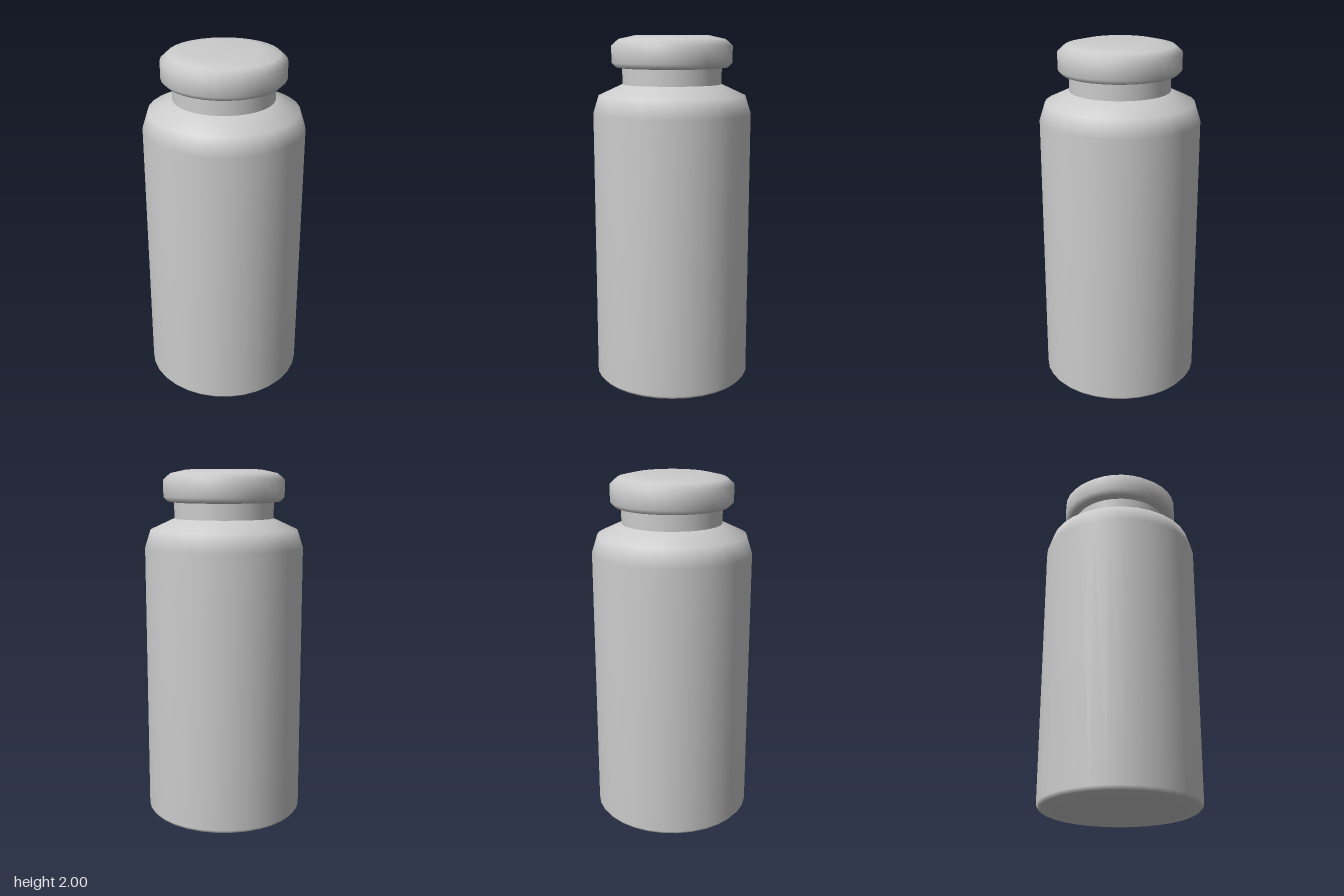
import * as THREE from 'three';

const SIDES = 32;

export function createModel() {
  const group = new THREE.Group();
  group.name = 'bottle';
  const material = new THREE.MeshStandardMaterial({ color: 0xcccccc });

  // Turns a profile of [radius, height] points, listed from bottom to top
  const turn = (name, profile) => {
    const points = profile.map(([r, y]) => new THREE.Vector2(r, y));
    const mesh = new THREE.Mesh(new THREE.LatheGeometry(points, SIDES), material);
    mesh.name = name;
    group.add(mesh);
  };

  // Body with a softened base and a sloping shoulder
  turn('body', [
    [0, 0], [0.26, 0.003], [0.43, 0.02], [0.447, 0.04], [0.447, 1.57],
    [0.415, 1.67], [0.285, 1.73], [0.27, 1.735], [0, 1.735],
  ]);

  // Straight neck between shoulder and cap
  turn('neck', [[0.28, 1.72], [0.28, 1.83]]);

  // Rounded cap overhanging the neck
  turn('cap', [
    [0, 1.82], [0.28, 1.82], [0.315, 1.825], [0.34, 1.85], [0.34, 1.945],
    [0.30, 1.98], [0.21, 2.0], [0, 2.0],
  ]);

  return group;
}
